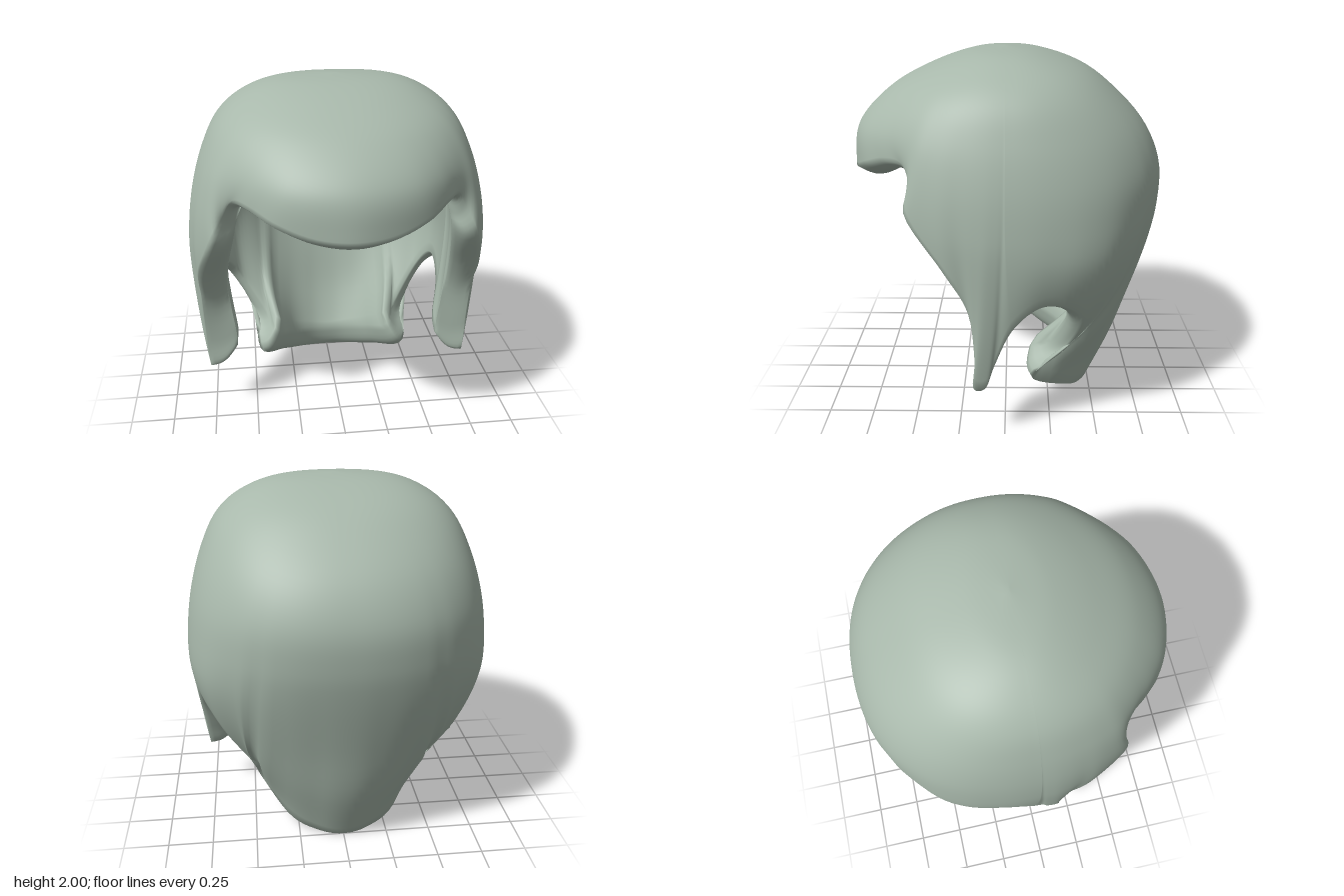
import * as THREE from 'three';
import { mergeVertices } from 'three/addons/utils/BufferGeometryUtils.js';

// Horizontal sections, crown to nape: y, half width, front depth, back depth
const SECTIONS = [
  [2, 0, 0, 0],
  [1.975, .31, .2, .2],
  [1.9, .51, .42, .42],
  [1.78, .65, .64, .59],
  [1.6, .74, .815, .76],
  [1.4, .8, .86, .85],
  [1.2, .83, .86, .855],
  [1, .835, .8, .82],
  [.66, .81, .7, .73],
  [.33, .77, .6, .64],
  [0, .72, .5, .5],
];

// Lower edge of one half, front centre to nape: outer point, inner point
const EDGE = [
  // fringe
  [0, 1.35, .852, 0, 1.31, .64],
  [.2, 1.365, .815, .18, 1.345, .6],
  [.38, 1.42, .735, .33, 1.415, .53],
  [.5, 1.47, .62, .44, 1.46, .46],
  [.58, 1.47, .515, .52, 1.44, .42],
  // temple and sideburn
  [.63, 1.38, .475, .56, 1.34, .42],
  [.7, 1.24, .495, .585, 1.22, .4],
  [.785, .98, .305, .63, .97, .24],
  [.785, .76, .185, .64, .76, .15],
  [.775, .48, .155, .605, .53, .14],
  [.765, .315, .165, .6, .43, .14],
  [.765, .315, .1, .6, .43, .1],
  [.775, .46, .05, .595, .51, .06],
  [.8, .67, -.04, .63, .68, -.03],
  // ear notch
  [.785, .79, -.18, .64, .79, -.16],
  [.735, .77, -.32, .62, .78, -.27],
  [.64, .65, -.41, .55, .64, -.33],
  // nape flap
  [.5, .41, -.34, .41, .42, -.25],
  [.46, .2, -.15, .35, .34, -.14],
  [.3, .06, -.37, .24, .235, -.32],
  [.14, .013, -.47, .12, .195, -.4],
  [0, 0, -.5, 0, .18, -.42],
];

// The half edge with one mirrored row at each end, so it crosses the middle smoothly
const mirrorRow = ([x, y, z, ix, iy, iz]) => [-x, y, z, -ix, iy, iz];
const LOOP = [mirrorRow(EDGE[1]), ...EDGE, mirrorRow(EDGE[EDGE.length - 2])];

// Smooth interpolation between the rows of a table
function sample(table, t) {
  const last = table.length - 1;
  const i = Math.min(Math.floor(t), last - 1), f = t - i;
  const row = k => table[Math.max(0, Math.min(last, k))];
  return table[0].map((_, c) => {
    const [a, b, d, e] = [row(i - 1)[c], row(i)[c], row(i + 1)[c], row(i + 2)[c]];
    return b + .5 * f * (d - a + f * (2 * a - 5 * b + 4 * d - e + f * (3 * (b - d) + e - a)));
  });
}

// Section parameter at a given height
function sectionAt(y) {
  let lo = 0, hi = SECTIONS.length - 1;
  for (let k = 0; k < 30; k++) {
    const mid = (lo + hi) / 2;
    if (sample(SECTIONS, mid)[0] > y) lo = mid; else hi = mid;
  }
  return (lo + hi) / 2;
}

// Point on the full, uncut outer form, narrowing towards the nape
function outerForm(phi, t) {
  const [y, side, front, back] = sample(SECTIONS, t);
  const s = Math.sin(phi), c = Math.cos(phi);
  const taper = .45 * THREE.MathUtils.smoothstep(1.05 - y, 0, 1.05) * THREE.MathUtils.smoothstep(phi, 1.48, 2.05);
  const w = side * (1 - taper);
  const d = c > 0 ? front : back, n = c > 0 ? 2.15 : 2.35;
  const r = Math.pow(Math.pow(Math.abs(s) / (w + 1e-5), n) + Math.pow(Math.abs(c) / (d + 1e-5), n), -1 / n);
  return new THREE.Vector3(r * s, y, r * c);
}

// Matching point on the hollow inside
function innerForm(phi, t) {
  const p = outerForm(phi, t);
  return new THREE.Vector3(p.x * .79, p.y - .18 * Math.max(0, 1 - t / 6), p.z * .79);
}

// Angle at which a strip leaves the crown: front to ear, then ear to nape
function crownAngle(u) {
  const ear = 13 / 21, quarter = Math.PI / 2;
  if (u < ear) return quarter * Math.sin(quarter * u / ear);
  return quarter * (1 + Math.pow((u - ear) / (1 - ear), .85));
}

// One strip: crown, outer face, rounded rim, inner face, inner crown
function strip(u, rings, rimSteps) {
  const e = sample(LOOP, 1 + u * (EDGE.length - 1));
  const outerEdge = new THREE.Vector3(e[0], e[1], e[2]);
  const innerEdge = new THREE.Vector3(e[3], e[4], e[5]);
  const phi0 = crownAngle(u);
  const phiEnd = Math.atan2(Math.max(0, e[0]), e[2]), tEnd = sectionAt(e[1]);
  const face = (form, edge) => {
    const shift = edge.clone().sub(form(phiEnd, tEnd));
    return Array.from({ length: rings + 1 }, (_, i) => {
      const s = i / rings;
      const phi = phi0 + (phiEnd - phi0) * Math.pow(s, 8);
      return form(phi, s * tEnd).addScaledVector(shift, Math.pow(s, 5));
    });
  };
  const outer = face(outerForm, outerEdge), inner = face(innerForm, innerEdge);
  // The rim swells along the mean run of the strip
  const bulge = outerEdge.clone().sub(outer[rings - 5]).normalize();
  const rim = [];
  for (let k = 1; k < rimSteps; k++) {
    const f = k / rimSteps;
    rim.push(outerEdge.clone().lerp(innerEdge, f).addScaledVector(bulge, .035 * Math.sin(Math.PI * f)));
  }
  return [...outer, ...rim, ...inner.reverse()];
}

export function createModel() {
  const half = 110, rings = 48, rimSteps = 7;
  const strips = [];
  for (let j = 0; j <= half; j++) strips.push(strip(j / half, rings, rimSteps));
  // Mirror to the other side
  for (let j = half - 1; j > 0; j--) {
    strips.push(strips[j].map(p => new THREE.Vector3(-p.x, p.y, p.z)));
  }

  // Join neighbouring strips, with single triangles at both crowns
  const rows = strips[0].length, positions = [], index = [];
  strips.forEach((points, j) => {
    const next = (j + 1) % strips.length;
    points.forEach((p, i) => {
      positions.push(p.x, p.y, p.z);
      if (i === rows - 1) return;
      const a = j * rows + i, d = next * rows + i;
      index.push(a, a + 1, i < rows - 2 ? d + 1 : d);
      if (i > 0 && i < rows - 2) index.push(a, d + 1, d);
    });
  });

  let geometry = new THREE.BufferGeometry();
  geometry.setAttribute('position', new THREE.Float32BufferAttribute(positions, 3));
  geometry.setIndex(index);
  geometry = mergeVertices(geometry, 1e-4);
  geometry.computeVertexNormals();

  const material = new THREE.MeshStandardMaterial({ color: 0xa8b8ab, side: THREE.DoubleSide });
  const hair = new THREE.Mesh(geometry, material);
  hair.name = 'hairShell';
  const group = new THREE.Group();
  group.name = 'hairPiece';
  group.add(hair);
  return group;
}
